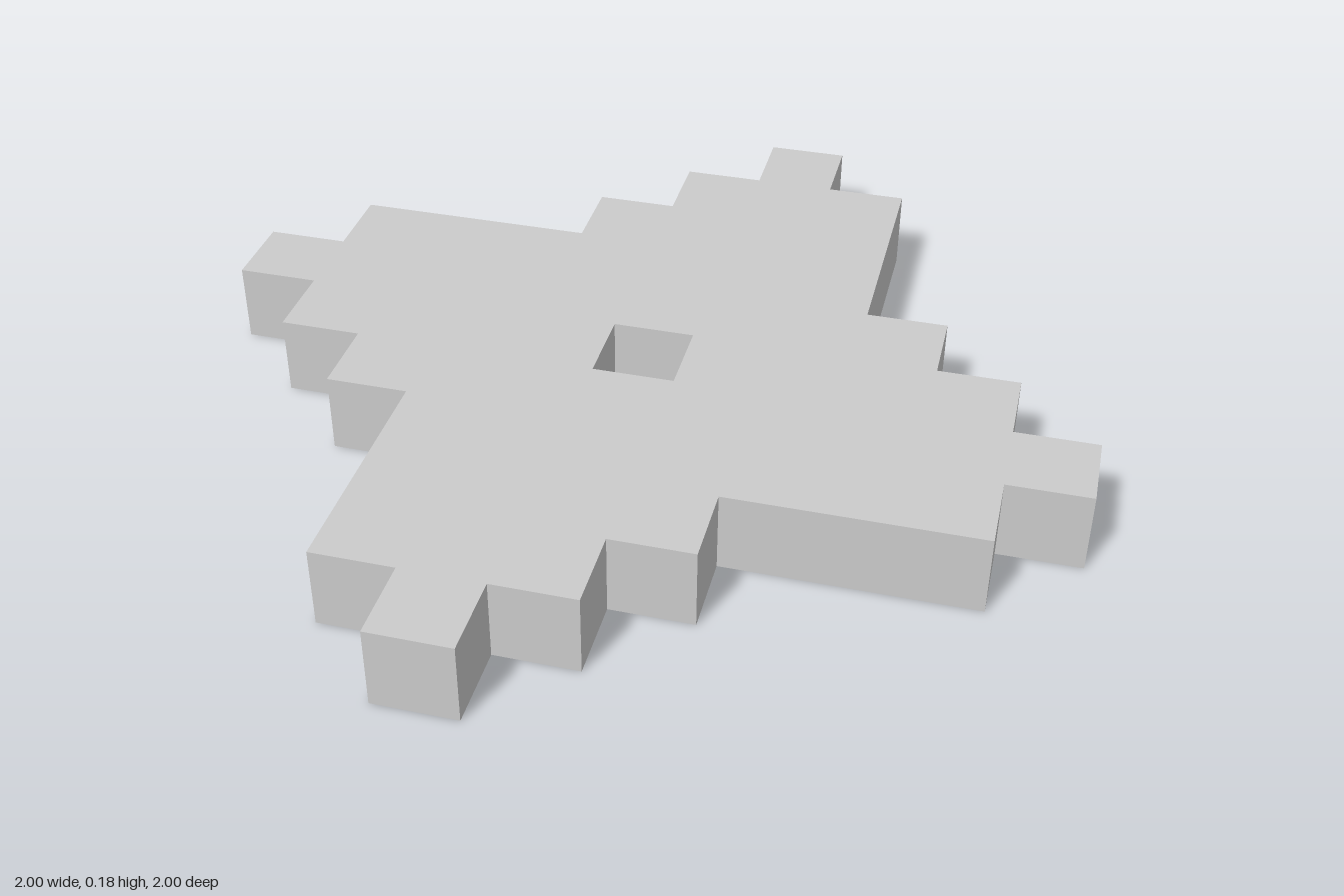
import * as THREE from 'three';

const UNIT = 1 / 11; // half of one grid cell
const THICKNESS = 2 * UNIT;

// One stepped arm of the outline as (x, z) corners; repeated at quarter turns
const ARM = [[1, -11], [3, -11], [3, -9], [5, -9], [5, -3], [7, -3], [7, -1], [9, -1], [9, 1]];
const HOLE_CORNER = [[1, -1]];

// Repeat a run of corners four times around the centre
function quarterTurns(corners) {
  const points = [];
  let run = corners;
  for (let i = 0; i < 4; i++) {
    points.push(...run.map(([x, z]) => new THREE.Vector2(x * UNIT, z * UNIT)));
    run = run.map(([x, z]) => [-z, x]);
  }
  return points;
}

export function createModel() {
  const group = new THREE.Group();
  group.name = 'steppedPinwheel';

  // Flat plate with a square hole through the middle
  const shape = new THREE.Shape(quarterTurns(ARM));
  shape.holes.push(new THREE.Path(quarterTurns(HOLE_CORNER)));
  const geometry = new THREE.ExtrudeGeometry(shape, { depth: THICKNESS, bevelEnabled: false });

  // Lay the plate down so that it stands on y = 0
  geometry.rotateX(Math.PI / 2);
  geometry.translate(0, THICKNESS, 0);

  const plate = new THREE.Mesh(
    geometry,
    new THREE.MeshStandardMaterial({ color: 0xcccccc, flatShading: true })
  );
  plate.name = 'pinwheelPlate';
  group.add(plate);
  return group;
}
